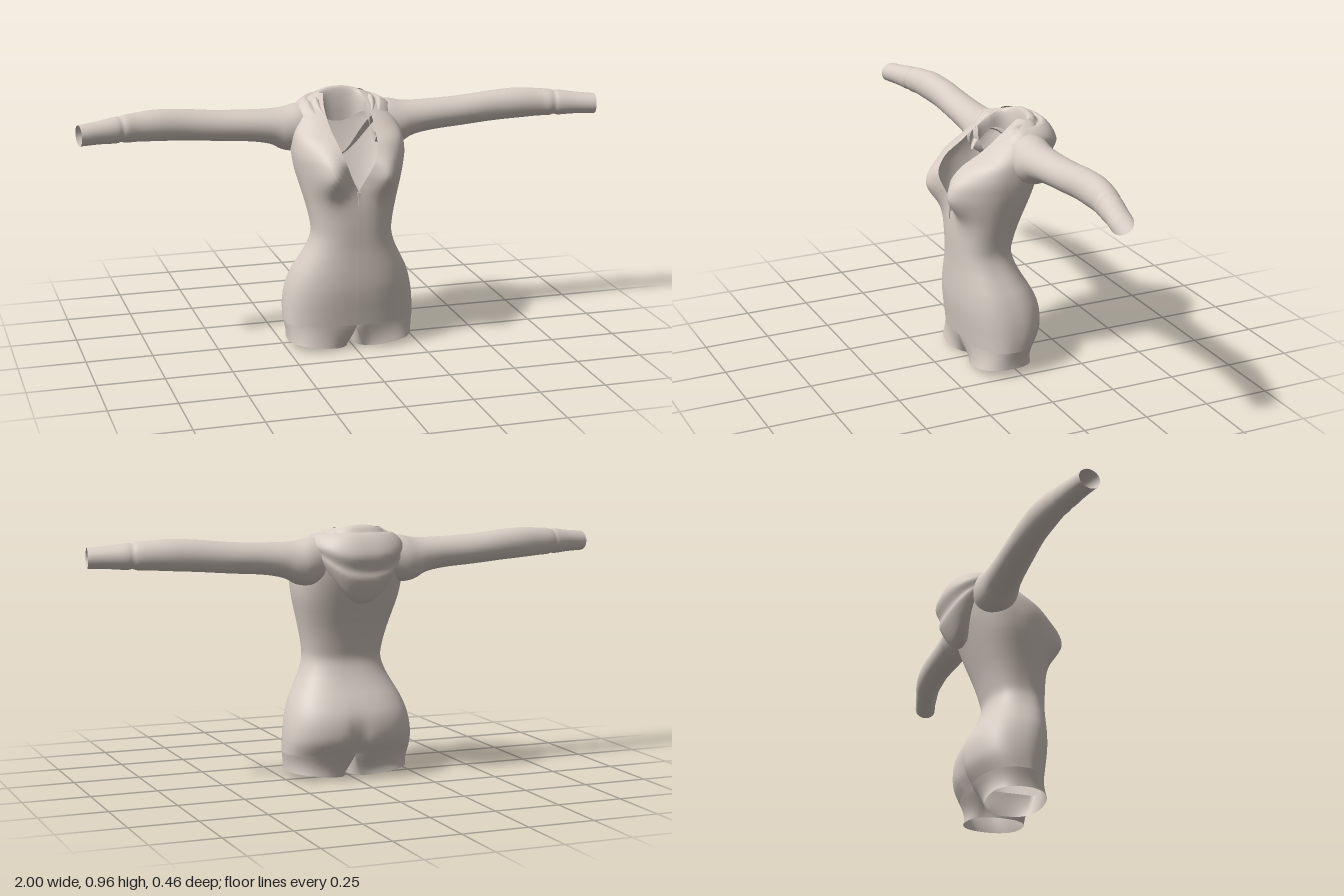
import * as THREE from 'three';

const fabric = new THREE.MeshStandardMaterial({ color: 0xd8cdc4, side: THREE.DoubleSide });
fabric.name = 'beige fabric';

// Smooth interpolation through the rows of a small table, u in 0..1
function sample(rows, u) {
  const f = u * (rows.length - 1);
  const i = Math.min(Math.floor(f), rows.length - 2);
  const t = f - i;
  const a = rows[Math.max(i - 1, 0)], b = rows[i], c = rows[i + 1], d = rows[Math.min(i + 2, rows.length - 1)];
  return b.map((p, k) => p + 0.5 * t * (c[k] - a[k] + t * (2 * a[k] - 5 * p + 4 * c[k] - d[k] + t * (3 * (p - c[k]) + d[k] - a[k]))));
}

// Surface from rings: fn(u, v) gives a point, u runs round a ring, v along the rings
function surface(name, nu, nv, closed, fn, flip = false) {
  const pos = [], index = [];
  const cols = closed ? nu : nu + 1;
  for (let j = 0; j <= nv; j++)
    for (let i = 0; i < cols; i++) pos.push(...fn(i / nu, j / nv));
  for (let j = 0; j < nv; j++)
    for (let i = 0; i < nu; i++) {
      const a = j * cols + i, b = j * cols + (i + 1) % cols, c = a + cols, d = b + cols;
      if (flip) index.push(a, c, b, b, c, d);
      else index.push(a, b, c, b, d, c);
    }
  const g = new THREE.BufferGeometry();
  g.setAttribute('position', new THREE.Float32BufferAttribute(pos, 3));
  g.setIndex(index);
  g.computeVertexNormals();
  const mesh = new THREE.Mesh(g, fabric);
  mesh.name = name;
  return mesh;
}

const spow = (v, p) => Math.sign(v) * Math.abs(v) ** p;
const bell = (v, w) => Math.exp(-((v / w) ** 2));

// Torso sections: height, half width, front z, back z, half width of the neck opening
const torsoRows = [
  [0.10, 0.25, 0.152, -0.105, 0],
  [0.15, 0.25, 0.16, -0.132, 0],
  [0.20, 0.245, 0.168, -0.138, 0],
  [0.25, 0.234, 0.174, -0.13, 0],
  [0.30, 0.216, 0.176, -0.106, 0],
  [0.35, 0.19, 0.176, -0.076, 0],
  [0.40, 0.165, 0.176, -0.052, 0],
  [0.45, 0.151, 0.178, -0.04, 0],
  [0.50, 0.155, 0.18, -0.05, 0],
  [0.56, 0.168, 0.18, -0.068, 0],
  [0.62, 0.184, 0.175, -0.09, 0],
  [0.66, 0.195, 0.172, -0.105, 0.019],
  [0.70, 0.204, 0.176, -0.12, 0.038],
  [0.75, 0.21, 0.185, -0.138, 0.058],
  [0.80, 0.208, 0.163, -0.152, 0.074],
  [0.84, 0.2, 0.105, -0.16, 0.083],
  [0.88, 0.178, 0.052, -0.16, 0.086],
  [0.92, 0.14, 0, -0.145, 0.083],
  [0.95, 0.09, -0.05, -0.125, 0.07],
];

// Point on a torso section: t = 0 front, PI/2 left side, PI back
function torsoPoint(row, t) {
  const [y, hw, zf, zb] = row;
  const s = Math.sin(t), c = Math.cos(t);
  const x = hw * spow(s, 0.8);
  let z = (zf + zb) / 2 + (zf - zb) / 2 * spow(c, 0.8);
  if (c > 0) z += 0.07 * Math.min(1, c * 2) * bell(Math.abs(x) - 0.105, 0.06) * bell(y - 0.685, 0.075);
  else z += 0.022 * bell(x, 0.03) * bell(y - 0.13, 0.09);
  return [x, y, z];
}

function torso() {
  return surface('torso', 72, 72, false, (u, v) => {
    const row = sample(torsoRows, v);
    const w = row[4] < 0.001 || row[0] <= 0.62 ? 0 : row[4];
    const t0 = Math.asin(Math.min(1, (w / row[1]) ** 1.25));
    return torsoPoint(row, t0 + u * (2 * Math.PI - 2 * t0));
  });
}

// Short open leg: half a hip section that turns into a round hem
function leg(side) {
  return surface(side > 0 ? 'leftLeg' : 'rightLeg', 48, 10, true, (u, v) => {
    const k = v ** 1.3;
    const row = [0.1, 0.25 - 0.01 * v, 0.152 - 0.007 * v, -0.105 + 0.03 * v, 0];
    let p = torsoPoint(row, Math.min(u / 0.75, 1) * Math.PI);
    if (u > 0.75) p = [0, 0.1, THREE.MathUtils.lerp(row[3] + 0.02, row[2], (u - 0.75) * 4)];
    const a = -Math.PI / 4 + u * 2 * Math.PI;
    const x = THREE.MathUtils.lerp(p[0], 0.126 + 0.115 * spow(Math.sin(a), 0.85), k);
    const z = THREE.MathUtils.lerp(p[2], 0.035 + 0.11 * spow(Math.cos(a), 0.85), k);
    return [side * x, 0.1 * (1 - v) + v * 0.03 * x / 0.24, z];
  }, side > 0);
}

// Sleeve sections: x, y, z, half height, half depth
const sleeveRows = [
  [0.13, 0.835, -0.065, 0.082, 0.07],
  [0.18, 0.828, -0.063, 0.088, 0.08],
  [0.23, 0.826, -0.06, 0.08, 0.078],
  [0.28, 0.837, -0.06, 0.066, 0.07],
  [0.36, 0.845, -0.06, 0.059, 0.064],
  [0.48, 0.852, -0.062, 0.057, 0.06],
  [0.60, 0.863, -0.06, 0.058, 0.055],
  [0.70, 0.869, -0.052, 0.058, 0.053],
  [0.78, 0.869, -0.042, 0.053, 0.048],
  [0.82, 0.868, -0.033, 0.051, 0.047],
  [0.84, 0.868, -0.029, 0.046, 0.043],
  [0.86, 0.867, -0.024, 0.048, 0.045],
  [0.92, 0.865, -0.01, 0.042, 0.042],
  [0.994, 0.862, 0.009, 0.038, 0.041],
];

function sleeve(side) {
  return surface(side > 0 ? 'leftSleeve' : 'rightSleeve', 28, 52, true, (u, v) => {
    const [x, y, z, ry, rz] = sample(sleeveRows, v);
    const a = u * 2 * Math.PI;
    const dz = rz * Math.sin(a);
    return [side * (x - 0.15 * dz), y + ry * Math.cos(a), z + dz];
  }, side > 0);
}

// Hood profile from the inner neck edge over the folds to the tucked lower edge:
// radius and height at the back, radius and height at the side
const hoodRows = [
  [0.075, 0.83, 0.086, 0.875],
  [0.075, 0.90, 0.088, 0.91],
  [0.085, 0.958, 0.096, 0.932],
  [0.11, 0.955, 0.11, 0.938],
  [0.128, 0.932, 0.124, 0.926],
  [0.15, 0.935, 0.142, 0.93],
  [0.18, 0.90, 0.166, 0.916],
  [0.196, 0.85, 0.18, 0.897],
  [0.178, 0.80, 0.178, 0.88],
  [0.178, 0.76, 0.175, 0.868],
  [0.14, 0.69, 0.168, 0.855],
  [0.105, 0.672, 0.15, 0.85],
  [0.085, 0.70, 0.13, 0.86],
];

function hood() {
  return surface('hood', 56, 48, false, (u, v) => {
    const [rb, yb, rs, ys] = sample(hoodRows, v);
    const a = (u * 2 - 1) * 2.1;
    const s = Math.sin(a), c = Math.cos(a);
    const k = s * s;
    let r = THREE.MathUtils.lerp(rb, rs, c < 0 ? 1 : k);
    let y = THREE.MathUtils.lerp(yb, ys, c < 0 ? 1 : k);
    if (c < 0) r = THREE.MathUtils.lerp(r, 0.1, -c * 1.2); // taper into the lapels
    const z = -0.03 - r * spow(c, 0.78);
    if (c < 0) y -= 0.8 * (z + 0.03);
    return [r * spow(s, 0.78), y, z];
  }, true);
}

// Zip pull hanging under the neck opening
function zipPull() {
  const group = new THREE.Group();
  group.name = 'zipPull';
  const slider = new THREE.Mesh(new THREE.BoxGeometry(0.012, 0.018, 0.008), fabric);
  slider.position.set(0, 0.615, 0.181);
  slider.name = 'zipSlider';
  const tab = new THREE.Mesh(new THREE.BoxGeometry(0.007, 0.03, 0.005), fabric);
  tab.position.set(0, 0.59, 0.184);
  tab.name = 'zipTab';
  group.add(slider, tab);
  return group;
}

export function createModel() {
  const model = new THREE.Group();
  model.name = 'hoodedBodysuit';
  model.add(torso(), hood(), zipPull());
  for (const side of [1, -1]) model.add(leg(side), sleeve(side));
  return model;
}
